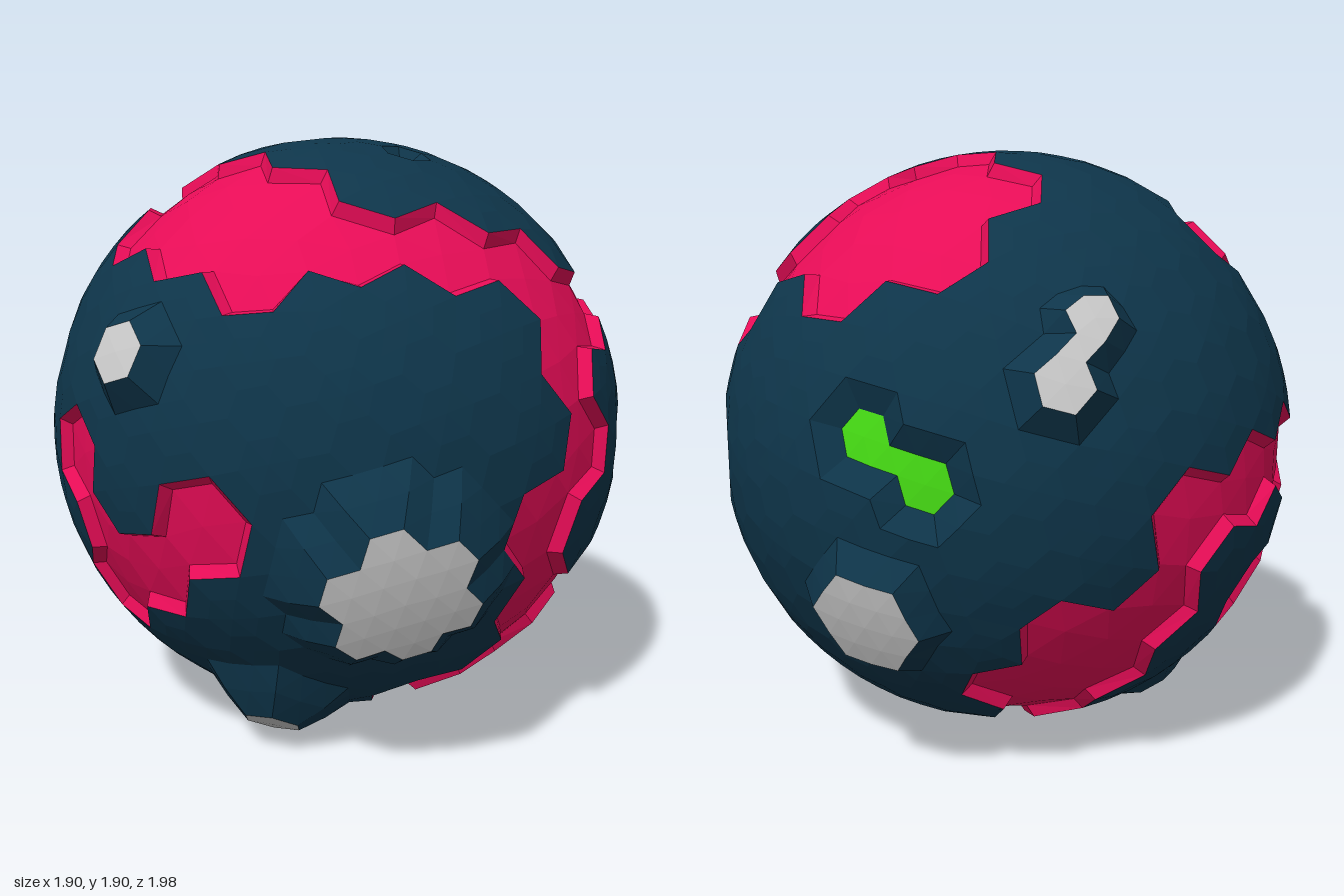
import * as THREE from 'three';

const R = 0.955, SEA = 0.914;

// Direction from longitude (0 = front, 90 = +x) and latitude, in degrees
const dir = ([lon, lat]) => new THREE.Vector3().setFromSphericalCoords(
  1, THREE.MathUtils.degToRad(90 - lat), THREE.MathUtils.degToRad(lon));

// Seas: channels one tile wide along paths, and a round basin
const channels = [
  // upper band
  [[-90, 34], [-90, 55], [-30, 57], [-5, 49], [34, 36], [65, 30], [93, 30], [116, 32], [133, 40]],
  [[-40, 46], [-8, 44]],
  // side band, running underneath and up the back
  [[58, 28], [62, 0], [58, -28], [50, -60], [195, -83], [199, -46], [210, -33], [222, -20], [227, -1], [242, 0],
    [258, -2], [276, -8], [286, 13], [290, 23], [283, 34]],
  // branches and lakes
  [[222, -36], [208, -54]],
  [[268, -16], [260, -31]],
  [[77, -27], [92, -26]],
  [[-11, -8], [-26, -17], [-40, -9], [-46, -29]],
  [[-40, -9], [-47, -3]],
  [[120, -27], [120, -27]],
];
const basin = { at: [151, 50], r: 0.41 };

// Peaks (h > 0) and craters (h < 0): flat within r, with an optional half-height skirt
const spots = [
  { h: 0.07, r: 0.105, at: [[-28, 19]] },
  { h: 0.09, r: 0.222, skirt: 0.08, at: [[25, -17]] },
  { h: 0.1, r: 0.105, skirt: 0.09, at: [[-11, -54]] },
  { h: 0.03, r: 0.105, at: [[-103, -56]] },
  { h: 0.06, r: 0.105, at: [[-157, 18], [-150, 29]] },
  { h: 0.06, r: 0.185, at: [[169, -24]] },
  { h: -0.012, r: 0.105, at: [[91, 0]] },
  { h: -0.05, r: 0.105, at: [[108, -6], [117, -2]] },
  { h: -0.05, r: 0.105, at: [[115, -52]] },
  { h: -0.06, r: 0.03, at: [[53, 70]] },
  { h: -0.05, r: 0.105, at: [[168, 9], [177, 2]] },
];

// Orthonormal frame from two directions
function frame(a, b) {
  const x = a.clone().normalize(), z = a.clone().cross(b).normalize();
  return new THREE.Matrix4().makeBasis(x, z.clone().cross(x), z);
}

const mid = (a, b) => a.clone().add(b).normalize();
const closest = (list, d) => list.reduce((a, b) => (b.n.dot(d) > a.n.dot(d) ? b : a));

// Hexagon and pentagon tiles: the dual of a divided icosahedron
function makeTiles() {
  const t = (1 + Math.sqrt(5)) / 2;
  const turn = frame(new THREE.Vector3(0.28, 0.958, -0.055), new THREE.Vector3(0.14, 0.47, 0.87))
    .multiply(frame(new THREE.Vector3(-1, t, 0), new THREE.Vector3(1, t, 0)).transpose());
  const pos = new THREE.IcosahedronGeometry(1, 3).applyMatrix4(turn).attributes.position;
  const tiles = [], corners = [];
  for (let i = 0; i < pos.count; i += 3) {
    const corner = { n: new THREE.Vector3(), tiles: [] };
    for (let k = 0; k < 3; k++) {
      const p = new THREE.Vector3().fromBufferAttribute(pos, i + k);
      let tile = tiles.find((o) => o.n.distanceTo(p) < 0.01);
      if (!tile) tiles.push(tile = { n: p, corners: [], sea: false });
      tile.corners.push(corner);
      corner.tiles.push(tile);
      corner.n.add(p);
    }
    corner.n.normalize();
    corners.push(corner);
  }
  // sort the corners of each tile counter-clockwise
  for (const tile of tiles) {
    const u = tile.corners[0].n.clone().projectOnPlane(tile.n).normalize();
    const w = tile.n.clone().cross(u);
    const angle = (c) => Math.atan2(c.n.dot(w), c.n.dot(u));
    tile.corners.sort((a, b) => angle(a) - angle(b));
  }
  return { tiles, corners };
}

export function createModel() {
  const { tiles, corners } = makeTiles();

  // flood the basin and the channels
  for (const t of tiles) t.sea = t.n.distanceTo(dir(basin.at)) < basin.r;
  for (const path of channels) {
    for (let i = 1; i < path.length; i++) {
      const a = dir(path[i - 1]), b = dir(path[i]);
      const steps = Math.max(1, Math.round(a.distanceTo(b) / 0.22));
      for (let s = 0; s <= steps; s++) closest(tiles, a.clone().lerp(b, s / steps).normalize()).sea = true;
    }
  }

  // all points of the fine grid; every spot sits on one of them
  const grid = [...tiles, ...corners];
  for (const { n, corners: ring } of tiles) {
    ring.forEach((c, k) => {
      grid.push({ n: mid(n, c.n) }, { n: mid(c.n, ring[(k + 1) % ring.length].n) });
    });
  }
  const zones = spots.flatMap(({ h, r, skirt = 0, at }) => at.map((p) => (
    { p: closest(grid, dir(p)).n.clone().multiplyScalar(R), r, h, skirt })));

  // surface point in a direction, its height, and whether it lies on a flat top or floor
  const ground = (d) => {
    const p = d.clone().setLength(R);
    const top = zones.find((z) => z.p.distanceTo(p) < z.r);
    const side = zones.find((z) => z.p.distanceTo(p) < z.r + z.skirt);
    const h = top ? top.h : side ? side.h / 2 : 0;
    return { p: p.setLength(R + h), h, flat: Boolean(top) };
  };

  // rim and seabed position of every corner; the seabed draws back from land
  for (const c of corners) {
    c.rim = ground(c.n);
    c.bed = c.n.clone().multiplyScalar(SEA);
    for (const t of c.tiles) if (!t.sea) c.bed.addScaledVector(t.n.clone().sub(c.n), -0.16);
  }

  const parts = { land: [], ocean: [], peaks: [], craterFloors: [] };
  const tri = (part, ...pts) => pts.forEach((p) => parts[part].push(p.x, p.y, p.z));
  const landTri = (a, b, c) => {
    const flat = a.flat && b.flat && c.flat;
    tri(!flat ? 'land' : a.h > 0 ? 'peaks' : 'craterFloors', a.p, b.p, c.p);
  };

  for (const tile of tiles) {
    tile.corners.forEach((a, k) => {
      const b = tile.corners[(k + 1) % tile.corners.length];
      if (tile.sea) {
        tri('ocean', tile.n.clone().multiplyScalar(SEA), a.bed, b.bed);
        // sloping shore wall
        const other = a.tiles.find((t) => t !== tile && b.tiles.includes(t));
        if (!other.sea) {
          tri('ocean', a.bed, a.rim.p, b.rim.p);
          tri('ocean', a.bed, b.rim.p, b.bed);
        }
      } else {
        const m0 = ground(mid(tile.n, a.n)), m1 = ground(mid(tile.n, b.n));
        const e = ground(mid(a.n, b.n));
        // keep level edges straight so they meet the shore walls
        if (!e.h && !a.rim.h && !b.rim.h) e.p.copy(a.rim.p).add(b.rim.p).multiplyScalar(0.5);
        landTri(ground(tile.n), m0, m1);
        landTri(m0, a.rim, e);
        landTri(m1, e, b.rim);
        landTri(m0, e, m1);
      }
    });
  }

  const colors = { land: 0x0e354a, ocean: 0xe60c56, peaks: 0xcccccc, craterFloors: 0x46dc14 };
  const group = new THREE.Group();
  group.name = 'planet';
  for (const name in parts) {
    const geo = new THREE.BufferGeometry();
    geo.setAttribute('position', new THREE.Float32BufferAttribute(parts[name], 3));
    geo.computeVertexNormals();
    const mesh = new THREE.Mesh(geo, new THREE.MeshStandardMaterial({ color: colors[name], flatShading: true }));
    mesh.name = name;
    mesh.position.y = R;
    group.add(mesh);
  }
  return group;
}
